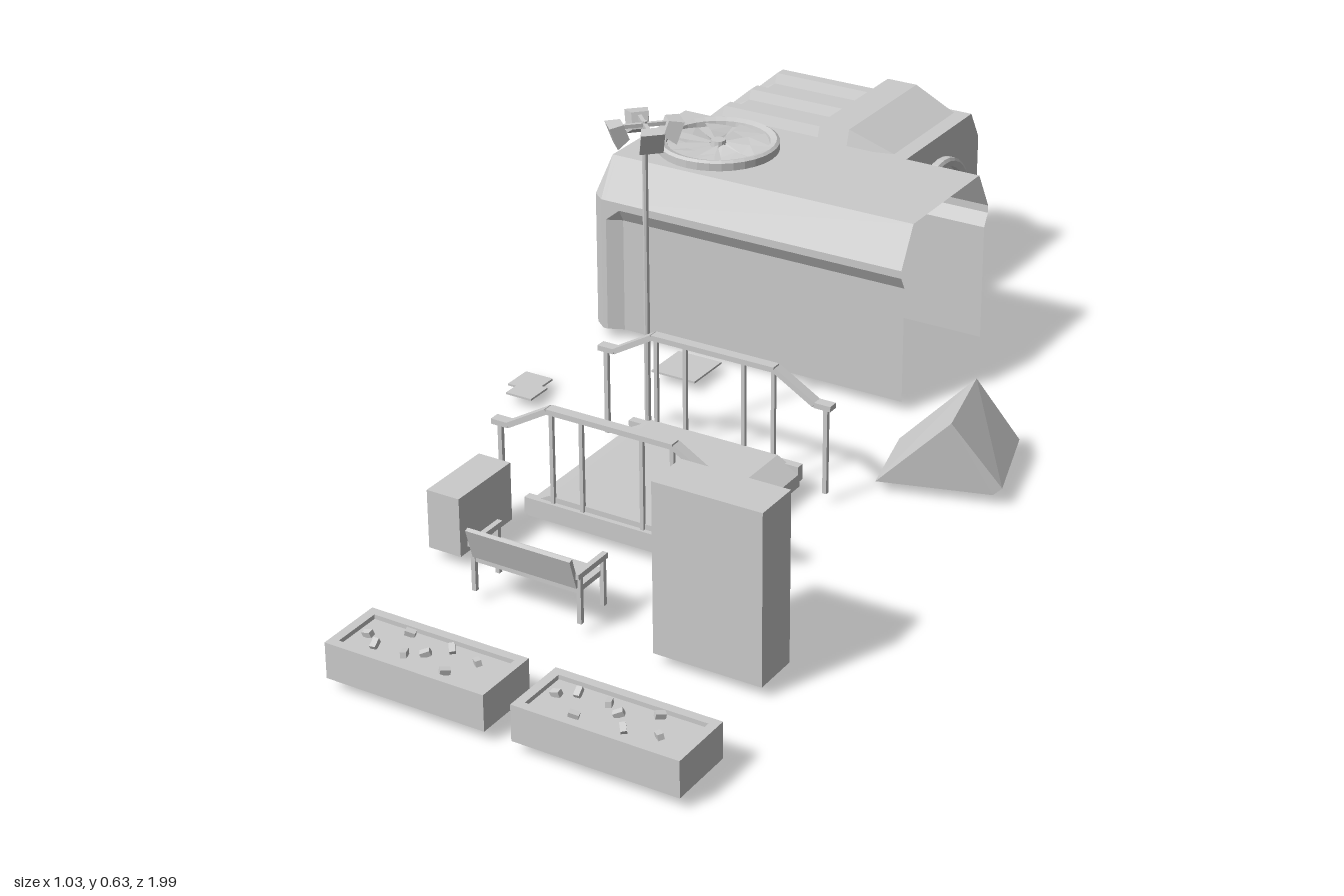
import * as THREE from 'three';
import { ConvexGeometry } from 'three/addons/geometries/ConvexGeometry.js';

const mat = new THREE.MeshStandardMaterial({ color: 0xcccccc, flatShading: true, side: THREE.DoubleSide });

function add(parent, name, geo, x = 0, y = 0, z = 0) {
  const m = new THREE.Mesh(geo, mat);
  m.name = name;
  m.position.set(x, y, z);
  parent.add(m);
  return m;
}

function group(parent, name, x = 0, y = 0, z = 0) {
  const g = new THREE.Group();
  g.name = name;
  g.position.set(x, y, z);
  parent.add(g);
  return g;
}

// box given by its lower and upper limits
const block = (p, name, x0, x1, y0, y1, z0, z1) =>
  add(p, name, new THREE.BoxGeometry(x1 - x0, y1 - y0, z1 - z0), (x0 + x1) / 2, (y0 + y1) / 2, (z0 + z1) / 2);

// square bar between two points
function bar(p, name, a, b, w, d = w) {
  const A = new THREE.Vector3(...a), B = new THREE.Vector3(...b);
  const m = add(p, name, new THREE.BoxGeometry(w, A.distanceTo(B), d));
  m.position.copy(A).add(B).multiplyScalar(0.5);
  m.quaternion.setFromUnitVectors(new THREE.Vector3(0, 1, 0), B.sub(A).normalize());
  return m;
}

// open skin through cross-sections, with optional end caps
function skin(rings, capStart, capEnd) {
  const pos = [];
  const tri = (...v) => v.forEach(q => pos.push(...q));
  for (let i = 0; i + 1 < rings.length; i++) {
    const r = rings[i], s = rings[i + 1];
    for (let j = 0; j + 1 < r.length; j++) {
      tri(r[j], s[j], s[j + 1]);
      tri(r[j], s[j + 1], r[j + 1]);
    }
  }
  const cap = r => { for (let j = 1; j + 1 < r.length; j++) tri(r[0], r[j], r[j + 1]); };
  if (capStart) cap(rings[0]);
  if (capEnd) cap(rings[rings.length - 1]);
  const g = new THREE.BufferGeometry();
  g.setAttribute('position', new THREE.Float32BufferAttribute(pos, 3));
  g.computeVertexNormals();
  return g;
}

// fan lying flat, facing +y
function fan(parent, name, depth) {
  const g = group(parent, name);
  const prof = [[0.106, -depth], [0.118, -depth], [0.118, 0.012], [0.112, 0.016], [0.1, 0.012], [0.098, 0.002]];
  add(g, 'fanRing', new THREE.LatheGeometry(prof.map(p => new THREE.Vector2(...p)), 32));
  add(g, 'fanHub', new THREE.CylinderGeometry(0.014, 0.016, 0.012, 12), 0, 0.008, 0);
  for (let i = 0; i < 9; i++) {
    const arm = group(g, 'fanBlade');
    arm.rotation.y = i * Math.PI * 2 / 9;
    const blade = skin([
      [[0.012, 0.008, -0.005], [0.012, 0.003, 0.005]],
      [[0.06, 0.009, -0.016], [0.06, 0.002, 0.016]],
      [[0.102, 0.009, -0.03], [0.102, 0.002, 0.028]]]);
    add(arm, 'blade', blade);
  }
  return g;
}

// mirrored (z, y) profile around a centre line, placed at x
const mirrored = (x, zc, half) => [
  ...half.map(([d, y]) => [x, y, zc + d]),
  ...half.slice().reverse().map(([d, y]) => [x, y, zc - d])];

function frontUnit(root) {
  const g = group(root, 'longHousing');
  const zc = -0.477;
  const sec = (x, w, inset, topW, top) => mirrored(x, zc,
    [[w - inset, 0.02], [w - inset, 0.25], [w, 0.275], [w, 0.29], [topW, top]]);
  add(g, 'shell', skin([
    sec(-0.485, 0.155, 0, 0.15, 0.292), sec(-0.46, 0.175, 0, 0.132, 0.367),
    sec(-0.45, 0.175, 0, 0.132, 0.367), sec(-0.42, 0.175, 0.014, 0.132, 0.367),
    sec(0.185, 0.175, 0.014, 0.132, 0.367)], true));
  const pod = (x, w, top) => mirrored(x, zc, [[w, 0.02], [w, top]]);
  add(g, 'endPod', skin([pod(-0.518, 0.1, 0.25), pod(-0.483, 0.135, 0.291)], true));
  fan(g, 'roofFan', 0.07).position.set(-0.305, 0.37, zc);
}

function rearUnit(root) {
  const g = group(root, 'ribbedHousing');
  const sec = (z, x0, top, b = 0) => [
    [x0 - b, 0.02, z], [x0 - b, top - 0.085, z], [x0 - b + 0.018, top - 0.035, z], [x0 + 0.06, top + b, z],
    [-0.2, top + b, z], [-0.2, top, z], [-0.01, top, z], [-0.01, 0.02, z]];
  const rings = [sec(-1, -0.455, 0.27), sec(-0.965, -0.49, 0.33)];
  for (const z of [-0.93, -0.825, -0.72])
    rings.push(sec(z - 0.02, -0.49, 0.33), sec(z - 0.012, -0.49, 0.33, 0.02),
      sec(z + 0.012, -0.49, 0.33, 0.02), sec(z + 0.02, -0.49, 0.33));
  rings.push(sec(-0.688, -0.49, 0.33), sec(-0.653, -0.455, 0.27));
  add(g, 'ribbedShell', skin(rings, true, true));
  // raised saddle over the roof, sloping towards +x
  const saddle = (x, top, w) => mirrored(x, -0.826, [[w + 0.022, 0.295], [w, top]]);
  add(g, 'roofSaddle', skin([saddle(-0.2, 0.367, 0.14), saddle(-0.135, 0.367, 0.14), saddle(-0.03, 0.325, 0.125)], true, true));
  const f = fan(g, 'sideFan', 0.01);
  f.position.set(-0.008, 0.165, -0.822);
  f.rotation.z = -Math.PI / 2;
}

function bridge(root) {
  const g = group(root, 'footbridge');
  const s = new THREE.Shape([[-0.165, 0.02], [0.185, 0.02], [0.185, 0.045], [0.14, 0.07], [-0.12, 0.07], [-0.165, 0.045]]
    .map(p => new THREE.Vector2(...p)));
  add(g, 'deck', new THREE.ExtrudeGeometry(s, { depth: 0.33, bevelEnabled: false }), 0, 0, 0.064);
  const path = [[-0.228, 0.19], [-0.195, 0.19], [-0.115, 0.237], [0.135, 0.237], [0.215, 0.19], [0.248, 0.19]];
  for (const z of [0.062, 0.395]) {
    for (let i = 0; i < 5; i++) bar(g, 'handrail', [...path[i], z], [...path[i + 1], z], 0.01, 0.02);
    for (const x of [-0.215, 0.235]) bar(g, 'endPost', [x, 0.02, z], [x, 0.19, z], 0.008);
    for (const x of [-0.11, -0.05, 0.07, 0.13]) bar(g, 'railPost', [x, 0.05, z], [x, 0.235, z], 0.007);
    block(g, 'deckEdge', -0.165, 0.185, 0.03, 0.06, z - 0.008, z + 0.008);
  }
}

function lamp(root) {
  const g = group(root, 'lampPost', -0.146, 0, 0.035);
  add(g, 'pole', new THREE.CylinderGeometry(0.005, 0.006, 0.61, 8), 0, 0.325, 0);
  for (let i = 0; i < 4; i++) {
    const arm = group(g, 'lampArm', 0, 0.613, 0);
    arm.rotation.y = Math.PI / 4 + i * Math.PI / 2;
    bar(arm, 'bracket', [0, 0.01, 0], [0.04, 0.01, 0], 0.007);
    const geo = new THREE.CylinderGeometry(0.03, 0.021, 0.026, 4).rotateY(Math.PI / 4);
    add(arm, 'lampHead', geo, 0.047, 0, 0).rotation.z = -Math.PI / 2 - 0.35;
  }
}

function planter(root, x) {
  const g = group(root, 'planter', x, 0, 0.93);
  const w = 0.15, d = 0.062, t = 0.016;
  for (const s of [-1, 1]) {
    block(g, 'longWall', -w, w, 0.02, 0.085, s * (d - t / 2) - t / 2, s * (d - t / 2) + t / 2);
    block(g, 'shortWall', s * (w - t / 2) - t / 2, s * (w - t / 2) + t / 2, 0.02, 0.085, t - d, d - t);
  }
  block(g, 'soil', t - w, w - t, 0.02, 0.077, t - d, d - t);
  for (let i = 0; i < 8; i++) {
    const m = add(g, 'sprout', new THREE.BoxGeometry(0.017, 0.01, 0.01), -0.11 + i * 0.028, 0.083, 0.033 * Math.sin(i * 2.3 + x * 9));
    m.rotation.set(0.2, i * 1.7, 0.3);
  }
}

function bench(root) {
  const g = group(root, 'bench');
  block(g, 'seat', -0.095, 0.108, 0.075, 0.085, 0.575, 0.65);
  bar(g, 'backrest', [0.007, 0.088, 0.652], [0.007, 0.145, 0.67], 0.203, 0.008);
  for (const x of [-0.097, 0.11]) {
    for (const z of [0.58, 0.648]) bar(g, 'leg', [x, 0.02, z], [x, 0.11, z], 0.008);
    bar(g, 'armrest', [x, 0.11, 0.572], [x, 0.11, 0.658], 0.01);
  }
}

function cabinets(root) {
  // tall cabinet with louvres on its -z side
  const tall = group(root, 'tallCabinet');
  block(tall, 'body', 0.26, 0.46, 0.02, 0.33, 0.59, 0.667);
  for (const [a, b] of [[0.26, 0.28], [0.44, 0.46]]) block(tall, 'sideFrame', a, b, 0.02, 0.33, 0.58, 0.59);
  for (const y of [0.02, 0.13, 0.315]) block(tall, 'crossFrame', 0.28, 0.44, y, y + 0.015, 0.58, 0.59);
  for (let i = 0; i < 4; i++)
    bar(tall, 'louvre', [0.36, 0.165 + i * 0.04, 0.581], [0.36, 0.185 + i * 0.04, 0.59], 0.16, 0.004);
  block(tall, 'hatch', 0.3, 0.38, 0.045, 0.09, 0.583, 0.59);

  // small box with a round vent on its -x side
  const small = group(root, 'smallBox');
  block(small, 'body', -0.245, -0.18, 0.02, 0.13, 0.42, 0.572);
  add(small, 'vent', new THREE.CylinderGeometry(0.036, 0.038, 0.008, 16).rotateZ(Math.PI / 2), -0.248, 0.075, 0.47);
  add(small, 'ventHub', new THREE.CylinderGeometry(0.012, 0.012, 0.012, 10).rotateZ(Math.PI / 2), -0.248, 0.075, 0.47);
}

const hull = pts => new ConvexGeometry(pts.map(p => new THREE.Vector3(...p)));

export function createModel() {
  const root = new THREE.Group();
  root.name = 'plazaSet';
  frontUnit(root);
  rearUnit(root);
  bridge(root);
  lamp(root);
  planter(root, 0.01);
  planter(root, 0.36);
  bench(root);
  cabinets(root);
  // half-sunk tilted block with its small foot
  add(root, 'tiltedBlock', hull([[0.25, 0.02, -0.185], [0.27, 0.02, -0.19], [0.45, 0.02, -0.235], [0.462, 0.05, -0.24],
    [0.505, 0.035, -0.085], [0.49, 0.02, -0.08], [0.29, 0.02, -0.02], [0.42, 0.155, -0.05], [0.39, 0.168, -0.205]]));
  add(root, 'blockFoot', hull([[0.255, 0.018, -0.21], [0.285, 0.022, -0.235], [0.312, 0.018, -0.2],
    [0.3, 0.01, -0.14], [0.285, 0, -0.21], [0.27, 0.003, -0.19]]));
  // ground plates
  block(root, 'groundPlate', -0.28, -0.185, 0.017, 0.021, -0.287, -0.19);
  block(root, 'smallPlate', -0.48, -0.42, 0.017, 0.021, -0.065, -0.005);
  block(root, 'smallPlate', -0.46, -0.405, 0.019, 0.023, -0.025, 0.03);
  return root;
}
